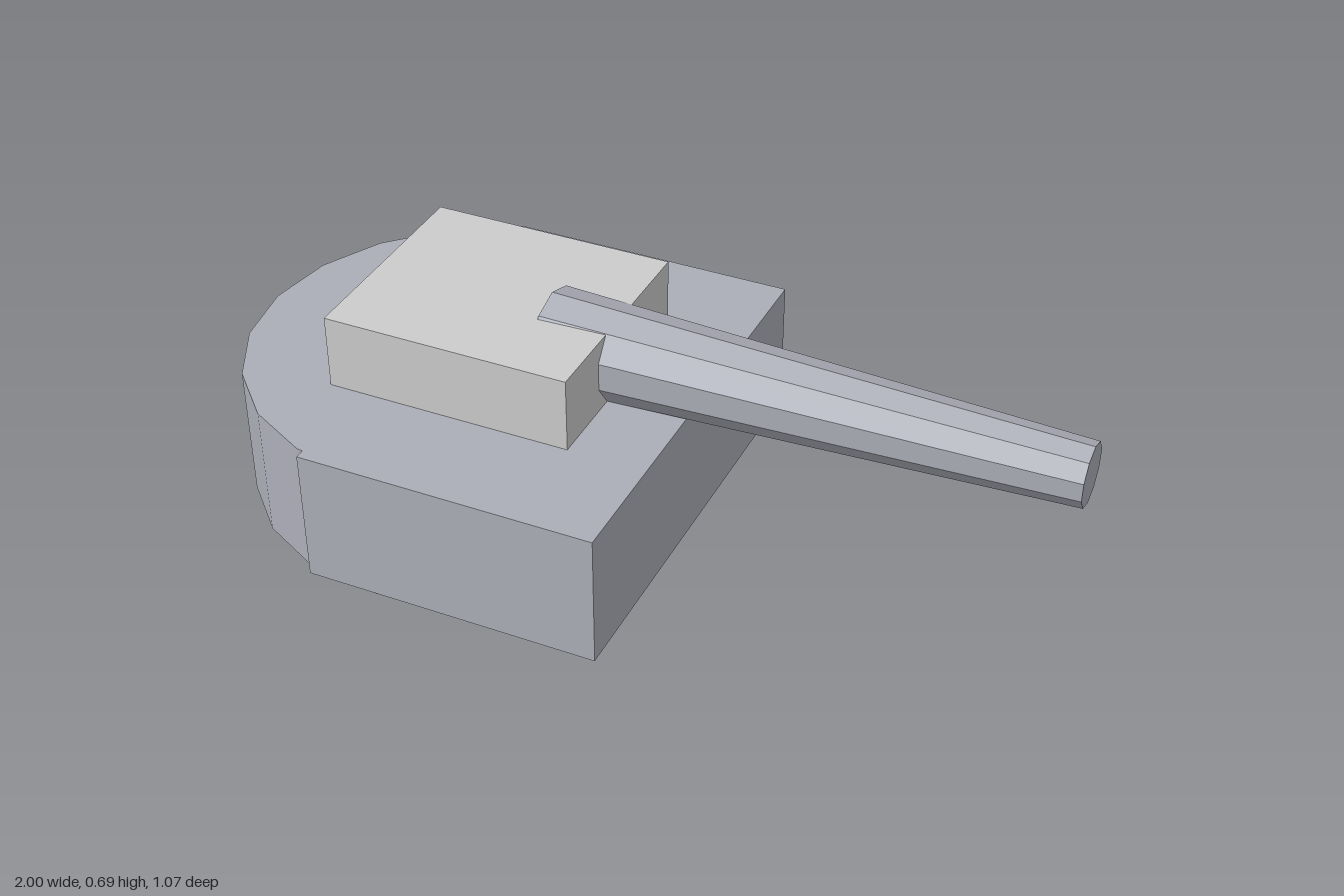
import * as THREE from 'three';

const grey = new THREE.MeshStandardMaterial({ color: 0xcccccc, flatShading: true });
const blueGrey = new THREE.MeshStandardMaterial({ color: 0xacaeb8, flatShading: true });

export function createModel() {
  const model = new THREE.Group();
  const add = (name, geometry, material, x, y, z = 0) => {
    const mesh = new THREE.Mesh(geometry, material);
    mesh.name = name;
    mesh.position.set(x, y, z);
    model.add(mesh);
    return mesh;
  };

  // Round foot: 16-sided disc
  add('base', new THREE.CylinderGeometry(0.387, 0.387, 0.15, 16), grey, -0.54, 0.075);

  // Body: square block whose rear end is rounded by part of a 20-sided disc
  const r = 0.535, cx = -0.465, joinX = -0.615;
  const outline = [[joinX, -r], [0.1, -r], [0.1, r], [joinX, r], [joinX, 0.511]];
  for (let i = 4; i >= -4; i--) {
    const a = i * Math.PI / 10;
    outline.push([cx - r * Math.cos(a), r * Math.sin(a)]);
  }
  outline.push([joinX, -0.511]);
  const shape = new THREE.Shape(outline.map(([x, y]) => new THREE.Vector2(x, y)));
  const body = new THREE.ExtrudeGeometry(shape, { depth: 0.328, bevelEnabled: false });
  body.rotateX(-Math.PI / 2);
  add('body', body, blueGrey, 0, 0.15);

  // Block on top of the body
  add('topBlock', new THREE.BoxGeometry(0.6, 0.18, 0.535), grey, -0.39, 0.568);

  // Tapered 10-sided barrel, with one edge along its top
  const barrel = new THREE.CylinderGeometry(0.073, 0.118, 1.255, 10);
  barrel.rotateY(-Math.PI / 2).rotateZ(-Math.PI / 2);
  add('barrel', barrel, blueGrey, 0.3725, 0.569);

  return model;
}
